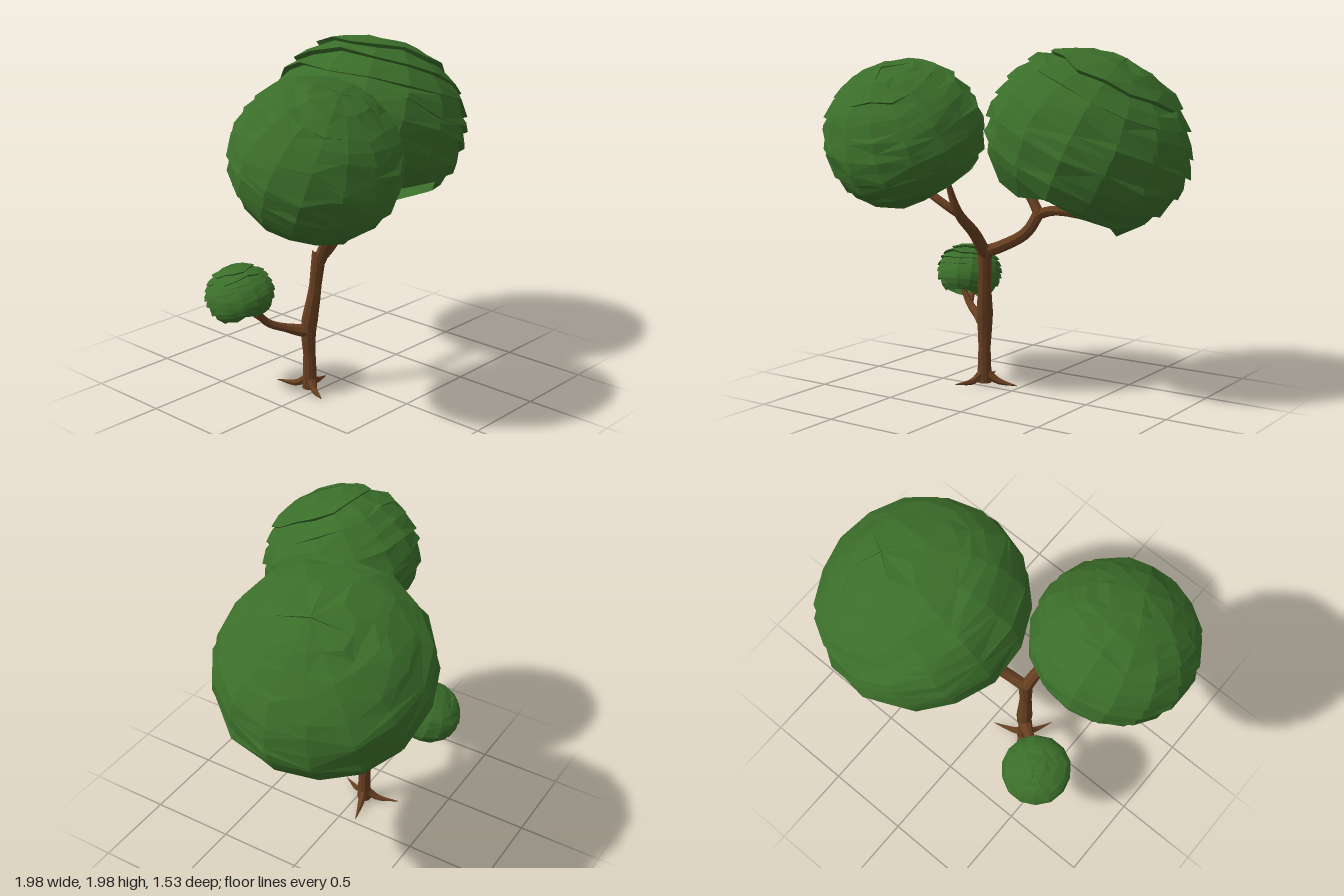
import * as THREE from 'three';

const V = (p) => new THREE.Vector3(...p);
const bark = new THREE.MeshStandardMaterial({ color: 0x683f20, flatShading: true });
const leaf = new THREE.MeshStandardMaterial({ color: 0x3b6e2a, flatShading: true, side: THREE.DoubleSide });

function seeded(seed) {
  return () => {
    seed = (seed * 16807) % 2147483647;
    return seed / 2147483647;
  };
}

// Tapered tube through points; radii are spread evenly along its length
function limb(name, points, radii, sides = 8) {
  const curve = new THREE.CatmullRomCurve3(points.map(V));
  const steps = points.length * 4;
  const geo = new THREE.TubeGeometry(curve, steps, 1, sides, false);
  const pos = geo.attributes.position;
  const v = new THREE.Vector3();
  for (let i = 0; i <= steps; i++) {
    const c = curve.getPointAt(i / steps);
    const t = (i / steps) * (radii.length - 1);
    const k = Math.min(Math.floor(t), radii.length - 2);
    const r = THREE.MathUtils.lerp(radii[k], radii[k + 1], t - k);
    for (let j = 0; j <= sides; j++) {
      const n = i * (sides + 1) + j;
      v.fromBufferAttribute(pos, n).sub(c).multiplyScalar(r).add(c);
      pos.setXYZ(n, v.x, Math.max(v.y, 0), v.z);
    }
  }
  geo.computeVertexNormals();
  const mesh = new THREE.Mesh(geo, bark);
  mesh.name = name;
  return mesh;
}

// Angles from the crown's tip at which each leaf tier ends
const TIERS = [0.68, 0.98, 1.22, 1.45, 1.7, 1.97];

// Hollow leaf dome: overlapping tiers with a stepped lip and a ragged rim
function canopy(name, { center, axis, radius, height, sides, end, lip, seed }) {
  const rand = seeded(seed);
  const rows = [];
  const ring = (theta, scale, jitter) => {
    const row = [];
    for (let j = 0; j < sides; j++) {
      const a = (j / sides) * Math.PI * 2;
      const th = theta + jitter[j];
      const s = scale * (1 + (rand() - 0.5) * 0.03);
      row.push([Math.sin(th) * Math.cos(a) * radius * s, Math.cos(th) * height * s, Math.sin(th) * Math.sin(a) * radius * s]);
    }
    rows.push(row);
  };
  const noise = (amount) => Array.from({ length: sides }, () => (rand() - 0.5) * amount);
  ring(0.001, 0.99, noise(0));
  ring(0.36, 0.99, noise(0.12));
  let last = 0.36;
  for (const theta of TIERS) {
    const edge = noise(0.13);
    ring((last + theta) / 2, 0.99, noise(0.06));
    ring(theta, 1 + lip / 2, edge);
    // tuck back under the lip to start the next tier
    ring(theta - 0.015, 1 - lip, edge);
    last = theta;
  }
  ring((last + end) / 2, 0.99, noise(0.08));
  ring(end, 1, noise(0.36));

  const index = [];
  for (let i = 0; i < rows.length - 1; i++) {
    for (let j = 0; j < sides; j++) {
      const j2 = (j + 1) % sides;
      const a = i * sides + j, b = i * sides + j2, c = a + sides, d = b + sides;
      if ((i + j) % 2) index.push(a, b, c, b, d, c);
      else index.push(a, b, d, a, d, c);
    }
  }
  const geo = new THREE.BufferGeometry();
  geo.setAttribute('position', new THREE.Float32BufferAttribute(rows.flat(2), 3));
  geo.setIndex(index);
  geo.computeVertexNormals();
  const mesh = new THREE.Mesh(geo, leaf);
  mesh.name = name;
  mesh.position.set(...center);
  mesh.quaternion.setFromUnitVectors(new THREE.Vector3(0, 1, 0), V(axis).normalize());
  return mesh;
}

export function createModel() {
  const tree = new THREE.Group();
  tree.name = 'tree';

  // Trunk
  tree.add(limb('trunk', [[-0.225, 0.02, -0.045], [-0.225, 0.2, -0.045], [-0.225, 0.38, -0.05], [-0.205, 0.62, -0.02], [-0.185, 0.86, 0]],
    [0.043, 0.036, 0.048, 0.036, 0.042], 10));

  // Roots
  const roots = new THREE.Group();
  roots.name = 'roots';
  for (const [x, y, z] of [[-0.29, 0.03, -0.25], [-0.03, 0.012, -0.1], [-0.31, 0.03, 0.13]]) {
    const mid = [-0.225 + (x + 0.225) * 0.4, 0.035, -0.045 + (z + 0.045) * 0.4];
    roots.add(limb('root', [[-0.225, 0.09, -0.045], mid, [x, y, z]], [0.03, 0.018, 0.002], 6));
  }
  tree.add(roots);

  // Large branch with its forks
  const large = new THREE.Group();
  large.name = 'largeBranch';
  large.add(
    limb('bough', [[-0.2, 0.81, 0], [-0.08, 0.855, -0.02], [0.06, 0.94, -0.06], [0.13, 1.07, -0.1]], [0.036, 0.034, 0.034]),
    limb('outerFork', [[0.11, 1.04, -0.09], [0.2, 1.07, -0.1], [0.32, 1.07, -0.11], [0.56, 1.02, -0.13]], [0.03, 0.026, 0.016]),
    limb('outerTwig', [[0.3, 1.06, -0.11], [0.35, 1.13, -0.12], [0.41, 1.24, -0.14]], [0.02, 0.012]),
    limb('innerFork', [[0.13, 1.04, -0.09], [0.07, 1.13, -0.1], [0, 1.22, -0.1], [-0.04, 1.38, -0.1]], [0.032, 0.026, 0.016]),
    limb('innerTwig', [[0, 1.22, -0.1], [0.03, 1.28, -0.11], [0.1, 1.33, -0.13]], [0.02, 0.012]),
  );
  tree.add(large);

  // Middle branch with its fork
  const middle = new THREE.Group();
  middle.name = 'middleBranch';
  middle.add(
    limb('bough', [[-0.185, 0.8, 0], [-0.205, 0.93, 0.08], [-0.23, 1.06, 0.2], [-0.26, 1.26, 0.27]], [0.038, 0.03, 0.014]),
    limb('fork', [[-0.22, 1.04, 0.18], [-0.3, 1.1, 0.22], [-0.45, 1.19, 0.23], [-0.66, 1.32, 0.19]], [0.026, 0.024, 0.012]),
    limb('twig', [[-0.58, 1.27, 0.21], [-0.54, 1.35, 0.22], [-0.48, 1.44, 0.24]], [0.018, 0.01]),
  );
  tree.add(middle);

  // Small branch with its fork
  const small = new THREE.Group();
  small.name = 'smallBranch';
  small.add(
    limb('bough', [[-0.225, 0.37, -0.05], [-0.31, 0.395, -0.11], [-0.43, 0.45, -0.18], [-0.52, 0.58, -0.21]], [0.045, 0.026, 0.022, 0.012]),
    limb('fork', [[-0.42, 0.445, -0.17], [-0.46, 0.49, -0.25], [-0.5, 0.56, -0.33]], [0.02, 0.012]),
  );
  tree.add(small);

  // Leaf crowns
  tree.add(
    canopy('largeCanopy', { center: [0.405, 1.47, -0.165], axis: [0.41, 0.9, -0.1], radius: 0.59, height: 0.51, sides: 15, end: 2.33, lip: 0.035, seed: 11 }),
    canopy('middleCanopy', { center: [-0.53, 1.5, 0.31], axis: [-0.03, 0.87, 0.4], radius: 0.46, height: 0.42, sides: 15, end: 2.32, lip: 0.035, seed: 29 }),
    canopy('smallCanopy', { center: [-0.52, 0.615, -0.305], axis: [-0.05, 0.93, -0.3], radius: 0.2, height: 0.175, sides: 14, end: 2.4, lip: 0.05, seed: 53 }),
  );
  return tree;
}
